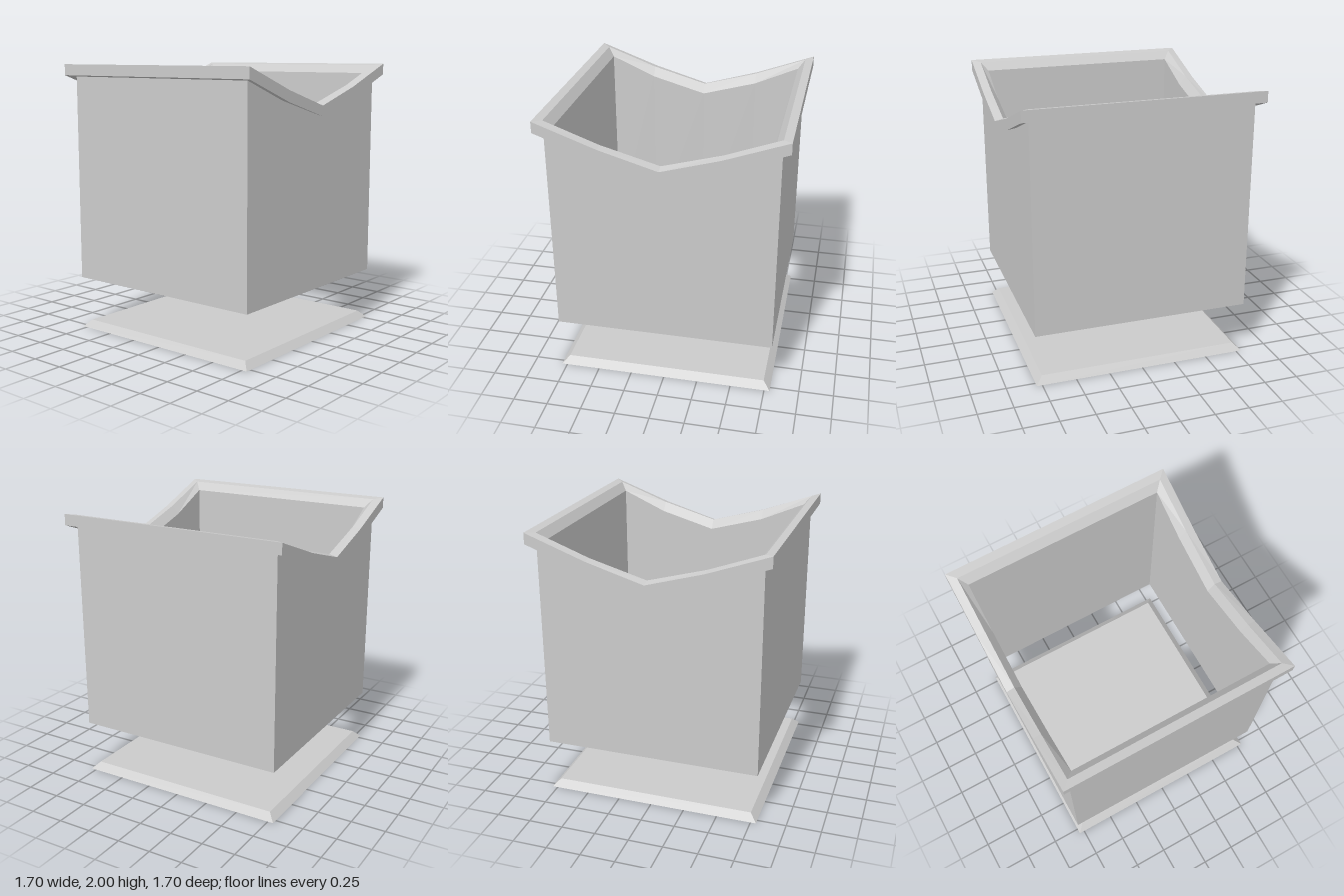
import * as THREE from 'three';

const material = new THREE.MeshStandardMaterial({ color: 0xcccccc, flatShading: true });

// Square loop of 10 points; heights are given at the corners, quarter points and middle of the two sides.
function loop(half, corner, quarter = corner, middle = corner) {
  const side = [[half, corner], [0.41, quarter], [0, middle], [-0.41, quarter], [-half, corner]];
  return [
    ...side.map(([z, y]) => [half, y, z]),
    ...side.map(([z, y]) => [-half, y, -z]),
  ];
}

// Skin a list of loops with flat faces.
function loft(name, loops) {
  const positions = [];
  for (let i = 0; i < loops.length - 1; i++) {
    const a = loops[i], b = loops[i + 1];
    for (let j = 0; j < a.length; j++) {
      const k = (j + 1) % a.length;
      positions.push(...a[j], ...a[k], ...b[k], ...a[j], ...b[k], ...b[j]);
    }
  }
  const geometry = new THREE.BufferGeometry();
  geometry.setAttribute('position', new THREE.Float32BufferAttribute(positions, 3));
  geometry.computeVertexNormals();
  const mesh = new THREE.Mesh(geometry, material);
  mesh.name = name;
  return mesh;
}

export function createModel() {
  const group = new THREE.Group();
  group.name = 'openBox';

  const underRim = loop(0.79, 1.91, 1.77, 1.66);
  const innerTop = loop(0.74, 1.93, 1.785, 1.67);

  // Four walls, open below with a mitred lower edge
  group.add(loft('walls', [innerTop, loop(0.74, 0.44), loop(0.79, 0.39), underRim]));

  // Overhanging rim that dips towards the middle of both sides
  group.add(loft('rim', [
    underRim,
    loop(0.85, 1.92, 1.76, 1.645),
    loop(0.85, 2.0, 1.84, 1.72),
    loop(0.79, 1.99, 1.85, 1.735),
    innerTop,
  ]));

  // Separate base plate with sloping edges
  const plate = new THREE.CylinderGeometry(0.74 * Math.SQRT2, 0.79 * Math.SQRT2, 0.05, 4);
  plate.rotateY(Math.PI / 4).translate(0, 0.025, 0);
  const base = new THREE.Mesh(plate, material);
  base.name = 'basePlate';
  group.add(base);

  return group;
}
